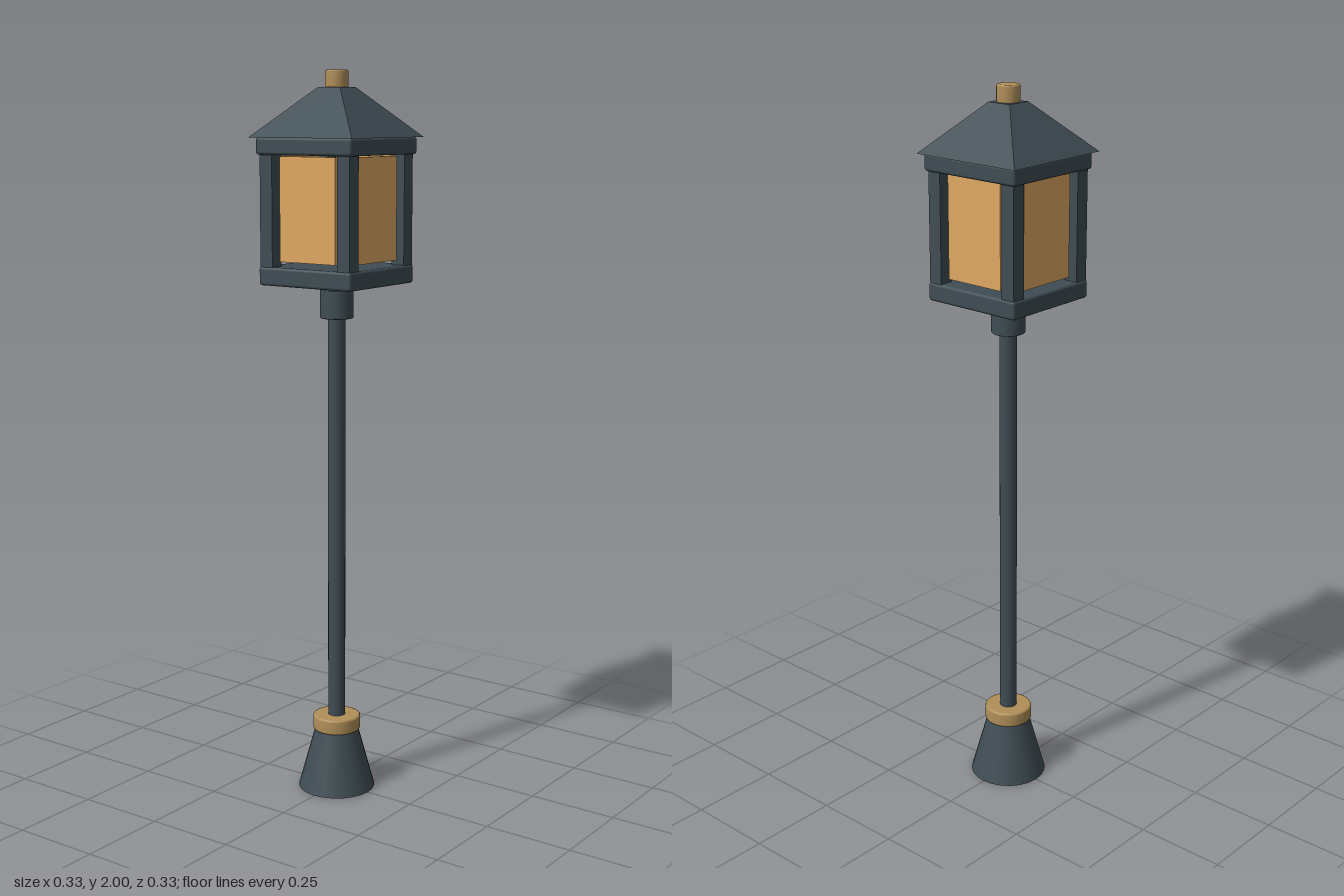
import * as THREE from 'three';
import { RoundedBoxGeometry } from 'three/addons/geometries/RoundedBoxGeometry.js';
import { toCreasedNormals } from 'three/addons/utils/BufferGeometryUtils.js';

const iron = new THREE.MeshStandardMaterial({ color: 0x3f4d54 });
const brass = new THREE.MeshStandardMaterial({ color: 0xb08f58 });
const glass = new THREE.MeshStandardMaterial({ color: 0xe0a862 });

export function createModel() {
  const model = new THREE.Group();
  model.name = 'streetLamp';

  const add = (name, geometry, material, x = 0, y = 0, z = 0, parent = model) => {
    const mesh = new THREE.Mesh(geometry, material);
    mesh.name = name;
    mesh.position.set(x, y, z);
    parent.add(mesh);
    return mesh;
  };

  // Round part from y0 to y1 with slightly softened rims
  const turned = (r, y0, y1, bevel) => new THREE.LatheGeometry([
    [0, y0], [r - bevel, y0], [r - bevel * 0.3, y0 + bevel * 0.3], [r, y0 + bevel],
    [r, y1 - bevel], [r - bevel * 0.3, y1 - bevel * 0.3], [r - bevel, y1], [0, y1],
  ].map(([px, py]) => new THREE.Vector2(px, py)), 24);

  // Foot and pole
  add('base', new THREE.CylinderGeometry(0.061, 0.108, 0.172, 24), iron, 0, 0.086);
  add('baseCollar', turned(0.067, 0.17, 0.213, 0.006), brass);
  add('pole', new THREE.CylinderGeometry(0.024, 0.024, 1.17, 20), iron, 0, 0.785);
  add('poleCap', turned(0.046, 1.343, 1.42, 0.003), iron);

  // Lantern frame
  const lantern = new THREE.Group();
  lantern.name = 'lantern';
  model.add(lantern);
  add('lowerFrame', new RoundedBoxGeometry(0.3, 0.05, 0.3, 3, 0.008), iron, 0, 1.46, 0, lantern);
  add('upperFrame', new RoundedBoxGeometry(0.31, 0.046, 0.31, 3, 0.008), iron, 0, 1.803, 0, lantern);

  // Four corner posts and four glass panes
  for (let i = 0; i < 4; i++) {
    const side = new THREE.Group();
    side.name = `lanternSide${i + 1}`;
    side.rotation.y = i * Math.PI / 2;
    lantern.add(side);
    add('cornerPost', new THREE.BoxGeometry(0.04, 0.31, 0.04), iron, 0.126, 1.633, 0.126, side);
    add('glassPane', new THREE.BoxGeometry(0.18, 0.277, 0.012), glass, 0, 1.638, 0.127, side);
  }

  // Truncated pyramid roof
  const roof = new THREE.CylinderGeometry(0.036 * Math.SQRT2, 0.167 * Math.SQRT2, 0.13, 4);
  roof.rotateY(Math.PI / 4);
  add('roof', toCreasedNormals(roof, 0.3), iron, 0, 1.89, 0, lantern);
  add('finial', turned(0.031, 1.953, 2, 0.005), brass, 0, 0, 0, lantern);

  return model;
}
